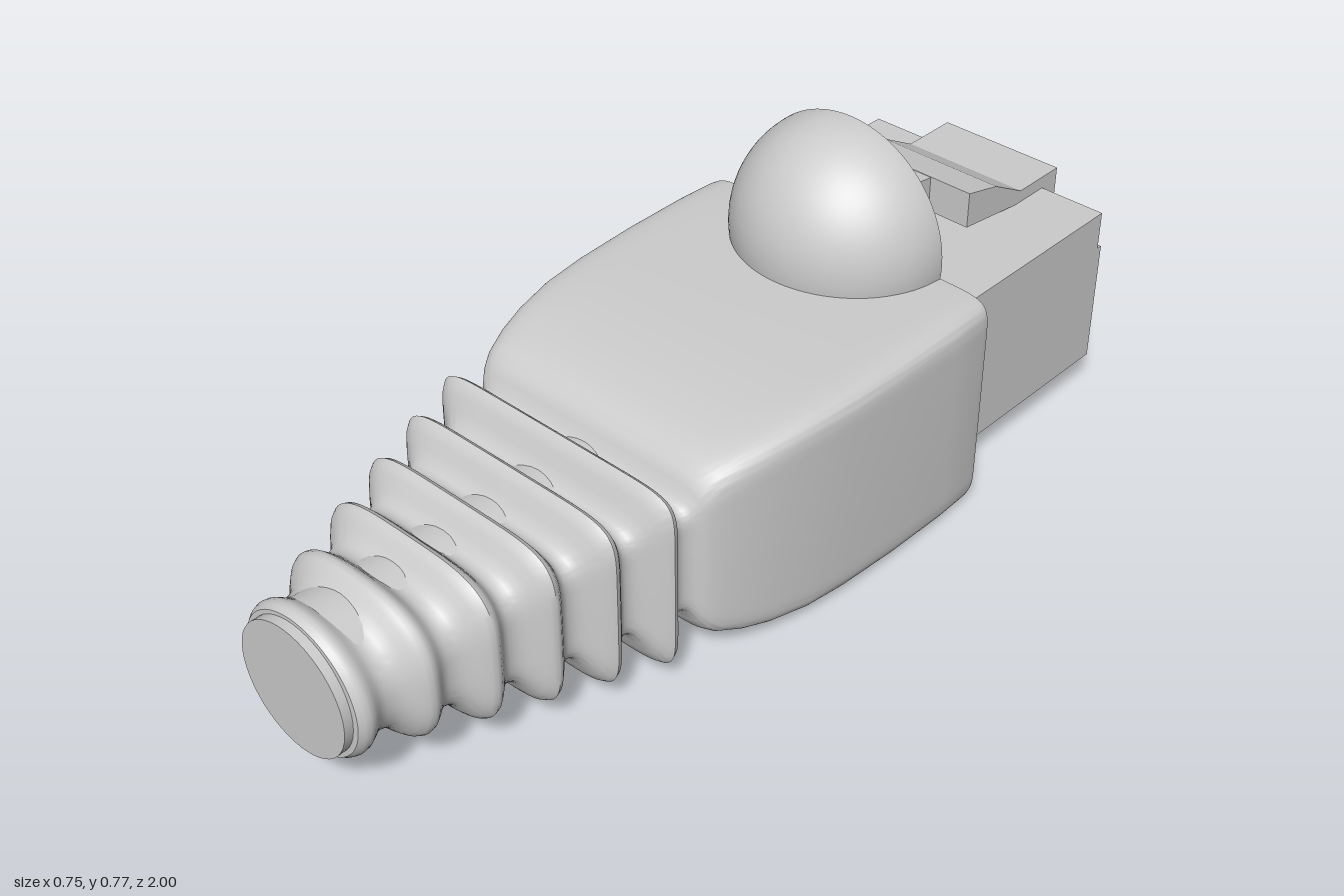
import * as THREE from 'three';
import { toCreasedNormals } from 'three/addons/utils/BufferGeometryUtils.js';

const CY = 0.25; // height of the long axis
const lerp = THREE.MathUtils.lerp;
const grey = () => new THREE.MeshStandardMaterial({ color: 0xcccccc });

function add(group, name, geometry, material = grey()) {
  const mesh = new THREE.Mesh(geometry, material);
  mesh.name = name;
  group.add(mesh);
  return mesh;
}

// Skin over superellipse rings [z, halfWidth, halfHeight, exponent]
function loft(rows, sides = 80) {
  const pos = [], index = [];
  const power = (v, n) => Math.sign(v) * Math.pow(Math.abs(v) < 1e-9 ? 0 : Math.abs(v), 2 / n);
  rows.forEach(([z, w, h, n], r) => {
    for (let i = 0; i < sides; i++) {
      const a = (i / sides) * Math.PI * 2;
      pos.push(w * power(Math.cos(a), n), CY + h * power(Math.sin(a), n), z);
      if (r === rows.length - 1) continue;
      const p = r * sides + i, q = r * sides + (i + 1) % sides;
      index.push(p, q, q + sides, p, q + sides, p + sides);
    }
  });
  const g = new THREE.BufferGeometry();
  g.setAttribute('position', new THREE.Float32BufferAttribute(pos, 3));
  g.setIndex(index);
  return toCreasedNormals(g, 0.75);
}

// Side profile of [z, y] points, extruded across x from x0 to x1
function slab(points, x0, x1) {
  const shape = new THREE.Shape(points.map(([z, y]) => new THREE.Vector2(-z, y)));
  const g = new THREE.ExtrudeGeometry(shape, { depth: x1 - x0, bevelEnabled: false });
  g.translate(0, 0, x0);
  return g.rotateY(Math.PI / 2);
}

function bootRows() {
  const rows = [
    // inner cavity, from its floor back to the rim
    [0.05, 0.001, 0.001, 14], [0.05, 0.335, 0.212, 14],
    [-0.2, 0.345, 0.222, 14], [-0.46, 0.345, 0.224, 14],
    // outer shell
    [-0.46, 0.365, 0.246, 14], [-0.44, 0.37, 0.247, 14], [-0.35, 0.374, 0.247, 14],
    [-0.2, 0.374, 0.245, 14], [-0.05, 0.369, 0.241, 14], [0.05, 0.36, 0.236, 14],
    [0.14, 0.345, 0.225, 13], [0.2, 0.33, 0.213, 12], [0.25, 0.313, 0.197, 11],
    [0.272, 0.302, 0.182, 10], [0.285, 0.292, 0.16, 10], [0.294, 0.28, 0.138, 10],
  ];
  // six strain relief ribs, turning from rectangular to round
  for (let z = 0.304; z < 0.99; z += 0.0098) {
    const k = (z - 0.373) / 0.118;
    const bump = Math.pow(0.5 + 0.5 * Math.cos(k * Math.PI * 2), 1.4);
    const n = 2 + 8 * Math.pow(Math.max(0, (0.963 - z) / 0.65), 1.5);
    rows.push([z, lerp(0.27 - 0.213 * (z - 0.314), 0.305 - 0.029 * k, bump),
      lerp(0.126, 0.205 - 0.0106 * k, bump), n]);
  }
  rows.push([0.99, 0.001, 0.001, 2]);
  return rows;
}

function createHood() {
  const hood = new THREE.Group();
  hood.name = 'hood';
  const R = 0.245, r = 0.215, low = Math.PI * 0.55;
  add(hood, 'hoodOuter', new THREE.SphereGeometry(R, 40, 28, 0, Math.PI, 0, low));
  const inner = grey();
  inner.side = THREE.DoubleSide;
  add(hood, 'hoodInner', new THREE.SphereGeometry(r, 40, 28, 0, Math.PI, 0, low), inner);
  const rim = new THREE.RingGeometry(r, R, 48, 1, -0.15, Math.PI + 0.3);
  add(hood, 'hoodRim', rim.rotateY(Math.PI));
  hood.position.set(0, 0.525, -0.46);
  hood.scale.z = 0.95;
  return hood;
}

function createPlug() {
  const plug = new THREE.Group();
  plug.name = 'plug';
  const front = 0, back = -0.96, W = 0.302, inW = 0.245;
  // lower housing: notched middle between two full side walls
  add(plug, 'housingMiddle', slab([[front, 0.085], [-0.74, 0.085], [-0.76, 0.2],
    [back, 0.2], [back, 0.367], [front, 0.367]], -inW, inW));
  for (const s of [-1, 1]) {
    const wall = slab([[front, 0.085], [back, 0.085], [back, 0.367], [front, 0.367]],
      Math.min(s * inW, s * W), Math.max(s * inW, s * W));
    add(plug, 'housingSide', wall);
  }
  add(plug, 'housingTop', slab([[front, 0.367], [-0.947, 0.367], [-0.947, 0.455], [front, 0.455]], -W, W));
  add(plug, 'endLip', slab([[-0.95, 0.2], [-0.966, 0.2], [-0.966, 0.305], [-0.95, 0.305]], -inW, inW));

  // eight spring contacts
  const path = new THREE.CatmullRomCurve3([[0.16, -0.74], [0.135, -0.82], [0.112, -0.9],
    [0.115, -0.935], [0.15, -0.948], [0.21, -0.945]].map(([y, z]) => new THREE.Vector3(0, y, z)));
  const wire = new THREE.TubeGeometry(path, 24, 0.016, 10);
  for (let i = 0; i < 8; i++) add(plug, 'contact', wire).position.x = (i - 3.5) * 0.06;

  // latch: thin stem, wide paddle and end block
  add(plug, 'latchStem', slab([[-0.3, 0.605], [-0.46, 0.585], [-0.69, 0.555],
    [-0.69, 0.475], [-0.46, 0.547], [-0.3, 0.58]], -0.048, 0.048));
  add(plug, 'latchPaddle', slab([[-0.676, 0.558], [-0.77, 0.535], [-0.865, 0.483],
    [-0.998, 0.483], [-0.998, 0.37], [-0.947, 0.37], [-0.947, 0.453], [-0.865, 0.453],
    [-0.676, 0.477]], -0.148, 0.148));
  return plug;
}

export function createModel() {
  const model = new THREE.Group();
  model.name = 'networkPlug';
  add(model, 'boot', loft(bootRows()));
  model.add(createHood(), createPlug());

  // round cable inside the ribs
  const cable = add(model, 'cable', new THREE.CylinderGeometry(0.137, 0.137, 0.85, 48));
  cable.rotation.x = Math.PI / 2;
  cable.position.set(0, CY, 0.575);
  return model;
}
